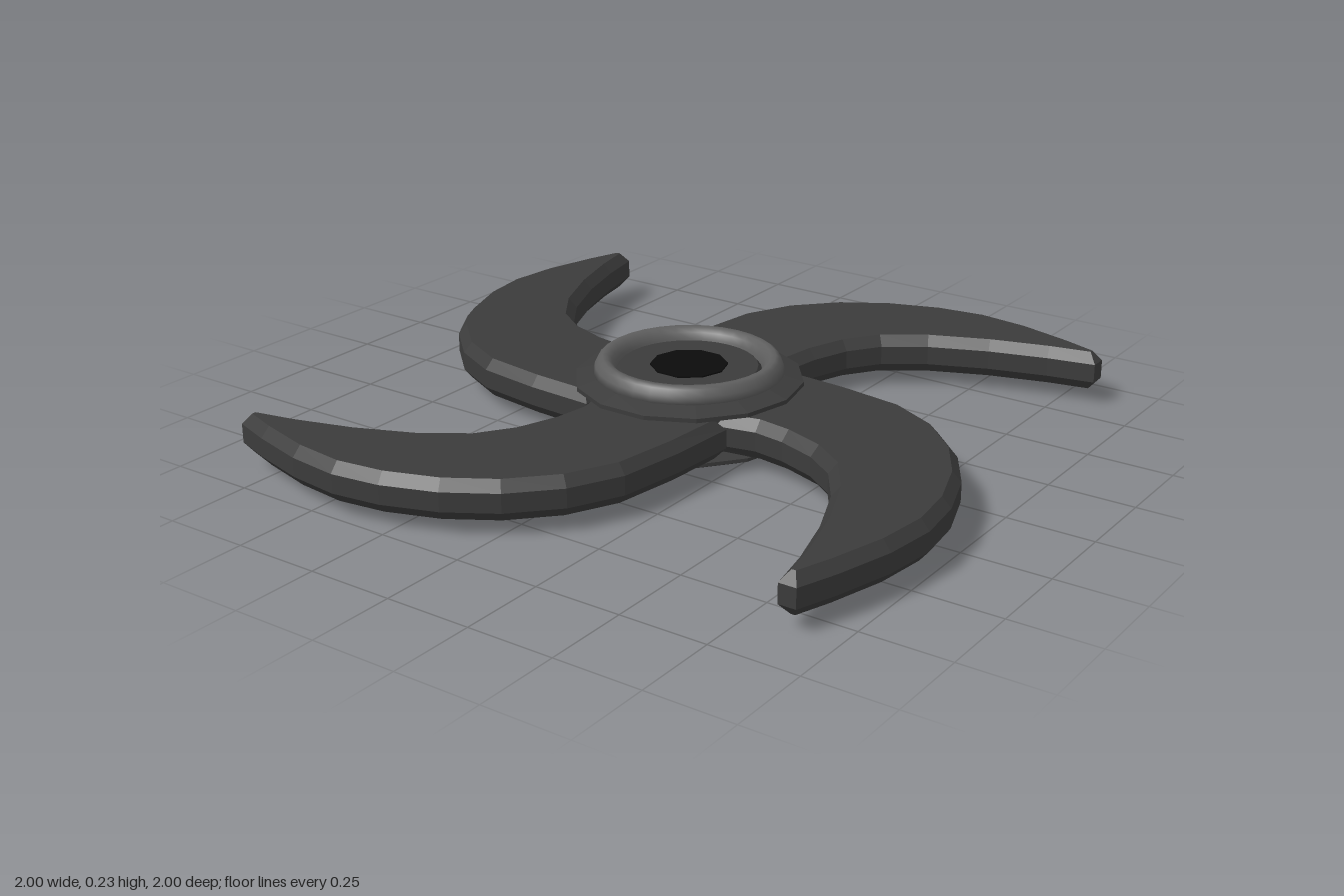
import * as THREE from 'three';

export function createModel() {
  const model = new THREE.Group();
  model.name = 'propeller';

  const mat = (name, color, flatShading = false) => {
    const m = new THREE.MeshStandardMaterial({ color, flatShading });
    m.name = name;
    return m;
  };
  const charcoal = mat('charcoal', 0x3b3b3b, true);
  const grey = mat('grey', 0x5e5e5e);
  const black = mat('black', 0x0b0b0b, true);

  const add = (name, geometry, material, y = 0) => {
    const mesh = new THREE.Mesh(geometry, material);
    mesh.name = name;
    mesh.position.y = y;
    model.add(mesh);
    return mesh;
  };
  const lathe = (points, segments) => new THREE.LatheGeometry(
    points.map(([r, y]) => new THREE.Vector2(r, y)), segments, Math.PI / 2);

  // Curved blade, seen from above as (x, z); the bevel widens it by 0.025
  const outline = [
    [0.2, -0.22], [0.38, -0.208], [0.57, -0.18], [0.71, -0.11], [0.825, 0],
    [0.905, 0.13], [0.957, 0.28], [0.975, 0.42], [0.957, 0.57], [0.913, 0.73],
    [0.878, 0.83], [0.866, 0.83],
    [0.842, 0.71], [0.793, 0.54], [0.722, 0.37], [0.64, 0.25], [0.54, 0.18],
    [0.42, 0.138], [0.32, 0.123], [0.2, 0.15],
  ];
  const bladeGeometry = new THREE.ExtrudeGeometry(
    new THREE.Shape(outline.map(([x, z]) => new THREE.Vector2(x, z))),
    { depth: 0.055, bevelSize: 0.025, bevelThickness: 0.03, bevelSegments: 1 });
  bladeGeometry.rotateX(Math.PI / 2);
  for (let i = 0; i < 4; i++) {
    add('blade' + (i + 1), bladeGeometry, charcoal, 0.125).rotation.y = i * Math.PI / 2;
  }

  // Hub: lower flange, waist between the blade roots, upper flange
  add('hub', lathe([
    [0, 0], [0.26, 0], [0.325, 0.03], [0.325, 0.04], [0.275, 0.045],
    [0.275, 0.15], [0.325, 0.16], [0.325, 0.172], [0.27, 0.188], [0, 0.188],
  ], 14), charcoal);

  // Rounded collar around the sunken cap
  add('collar', lathe([
    [0.25, 0.185], [0.27, 0.19], [0.265, 0.21], [0.255, 0.228], [0.244, 0.235],
    [0.23, 0.233], [0.217, 0.222], [0.208, 0.205], [0.205, 0.186],
  ], 32), grey);

  // Cap floor and shaft opening
  add('capFloor', new THREE.CylinderGeometry(0.195, 0.212, 0.02, 32), charcoal, 0.195);
  add('shaftOpening', new THREE.CylinderGeometry(0.11, 0.11, 0.008, 10, 1, false, Math.PI / 2), black, 0.205);

  return model;
}
